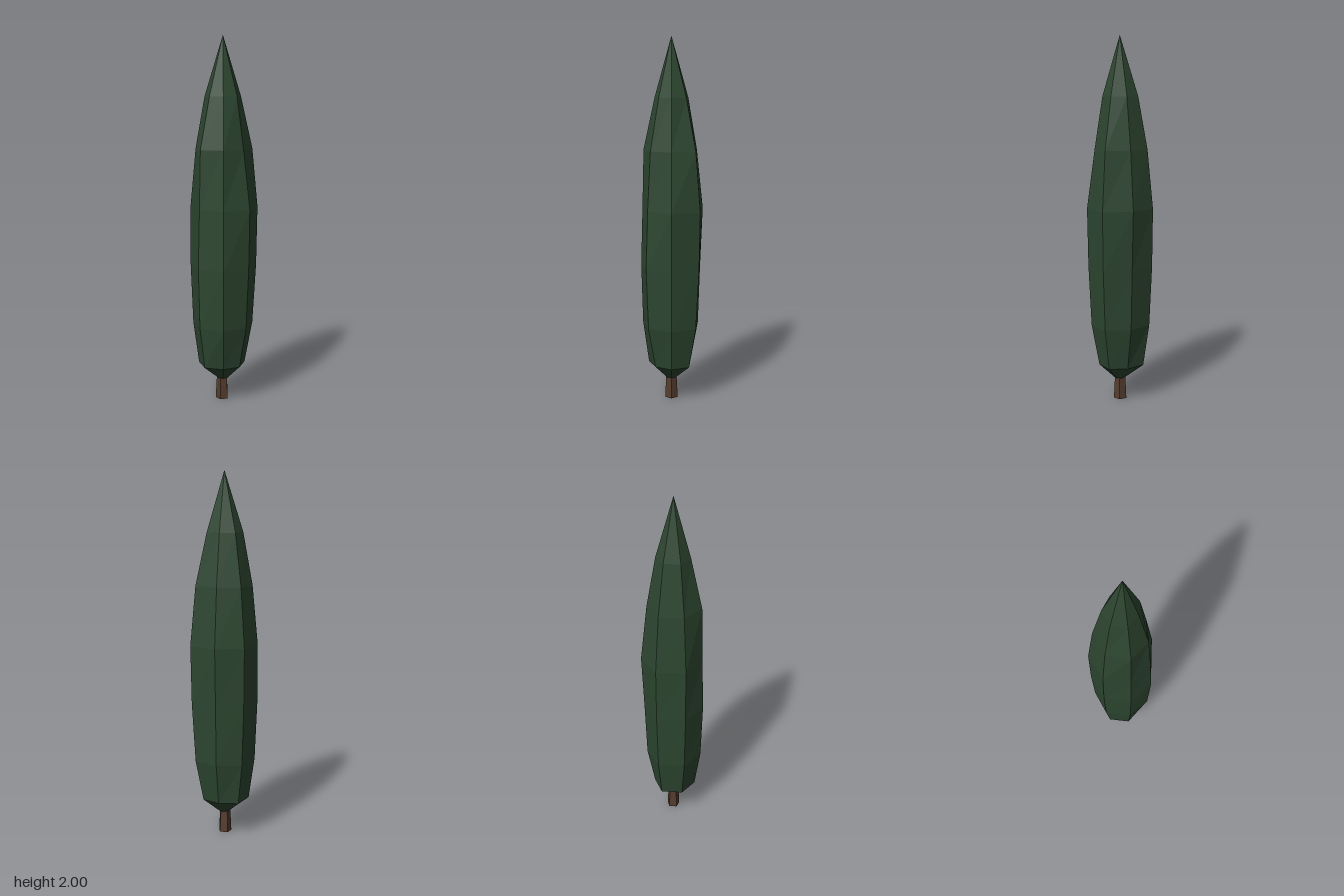
import * as THREE from 'three';

const SIDES = 7;
const CENTRE_X = -0.007;

// Rings of the crown from bottom to top, one radius per corner
const RINGS = [
  { y: 0.12, r: [0.03, 0.03, 0.03, 0.03, 0.03, 0.03, 0.03] },
  { y: 0.2, r: [0.115, 0.112, 0.13, 0.137, 0.135, 0.109, 0.125] },
  { y: 0.43, r: [0.158, 0.16, 0.163, 0.169, 0.168, 0.152, 0.17] },
  { y: 0.76, r: [0.174, 0.174, 0.172, 0.182, 0.182, 0.163, 0.19] },
  { y: 1.08, r: [0.18, 0.162, 0.163, 0.181, 0.185, 0.176, 0.196] },
  { y: 1.4, r: [0.137, 0.142, 0.155, 0.151, 0.153, 0.141, 0.165] },
  { y: 1.68, r: [0.094, 0.085, 0.092, 0.1, 0.101, 0.092, 0.1] },
];

function crownGeometry() {
  const positions = [];
  const index = [];
  for (const ring of RINGS) {
    ring.r.forEach((r, k) => {
      const a = (k / SIDES) * Math.PI * 2;
      positions.push(CENTRE_X + r * Math.cos(a), ring.y, r * Math.sin(a));
    });
  }
  const bottom = positions.length / 3;
  positions.push(CENTRE_X, RINGS[0].y, 0);
  const tip = bottom + 1;
  positions.push(CENTRE_X, 2, 0);

  const last = (RINGS.length - 1) * SIDES;
  for (let k = 0; k < SIDES; k++) {
    const n = (k + 1) % SIDES;
    // Side bands
    for (let row = 0; row < last; row += SIDES) {
      const a = row + k, b = row + n, c = a + SIDES, d = b + SIDES;
      index.push(a, c, b, b, c, d);
    }
    // Pointed top and closed underside
    index.push(last + k, tip, last + n);
    index.push(bottom, k, n);
  }
  const indexed = new THREE.BufferGeometry();
  indexed.setAttribute('position', new THREE.Float32BufferAttribute(positions, 3));
  indexed.setIndex(index);
  const geometry = indexed.toNonIndexed();
  geometry.computeVertexNormals();
  return geometry;
}

export function createModel() {
  const foliage = new THREE.MeshStandardMaterial({ color: 0x2d4630, flatShading: true });
  foliage.name = 'foliage green';
  const bark = new THREE.MeshStandardMaterial({ color: 0x553d2e, flatShading: true });
  bark.name = 'bark brown';

  const tree = new THREE.Group();
  tree.name = 'cypressTree';

  const crown = new THREE.Mesh(crownGeometry(), foliage);
  crown.name = 'crown';
  tree.add(crown);

  // Five-sided trunk with one corner towards +x
  const trunkGeometry = new THREE.CylinderGeometry(0.03, 0.037, 0.14, 5);
  trunkGeometry.rotateY(Math.PI / 2);
  const trunk = new THREE.Mesh(trunkGeometry, bark);
  trunk.name = 'trunk';
  trunk.position.set(-0.011, 0.07, 0);
  tree.add(trunk);

  return tree;
}
